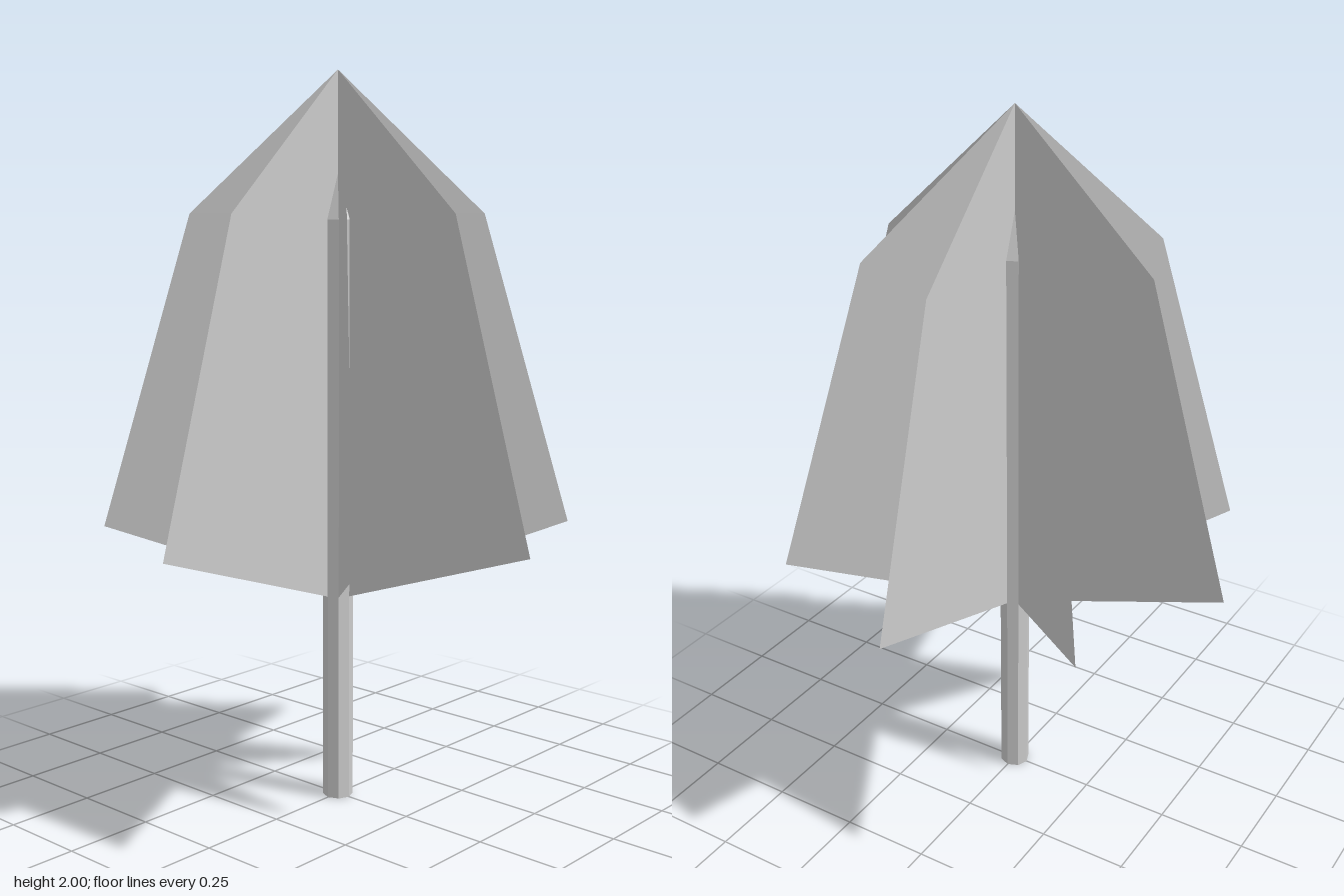
import * as THREE from 'three';

export function createModel() {
  const tree = new THREE.Group();
  tree.name = 'tree';

  const bark = new THREE.MeshStandardMaterial({ color: 0xcccccc, flatShading: true });
  const leaf = new THREE.MeshStandardMaterial({
    color: 0xcccccc, flatShading: true, side: THREE.DoubleSide,
  });

  // Eight-sided trunk with a closed base and a pointed top
  const profile = [[0, 0], [0.042, 0], [0.042, 1.61], [0, 1.73]]
    .map(([r, y]) => new THREE.Vector2(r, y));
  const trunk = new THREE.Mesh(new THREE.LatheGeometry(profile, 8), bark);
  trunk.name = 'trunk';
  tree.add(trunk);

  // Foliage: four flat symmetrical panels crossing on the trunk axis
  const half = [[0.395, 1.625], [0.64, 0.78]];
  const outline = [
    [0, 2], ...half, [0, 0.567],
    ...half.slice().reverse().map(([x, y]) => [-x, y]),
  ].map(([x, y]) => new THREE.Vector2(x, y));
  const panelGeometry = new THREE.ShapeGeometry(new THREE.Shape(outline));

  const foliage = new THREE.Group();
  foliage.name = 'foliage';
  for (let i = 0; i < 4; i++) {
    const panel = new THREE.Mesh(panelGeometry, leaf);
    panel.name = `foliagePanel${i + 1}`;
    panel.rotation.y = (i * Math.PI) / 4;
    foliage.add(panel);
  }
  tree.add(foliage);

  return tree;
}
